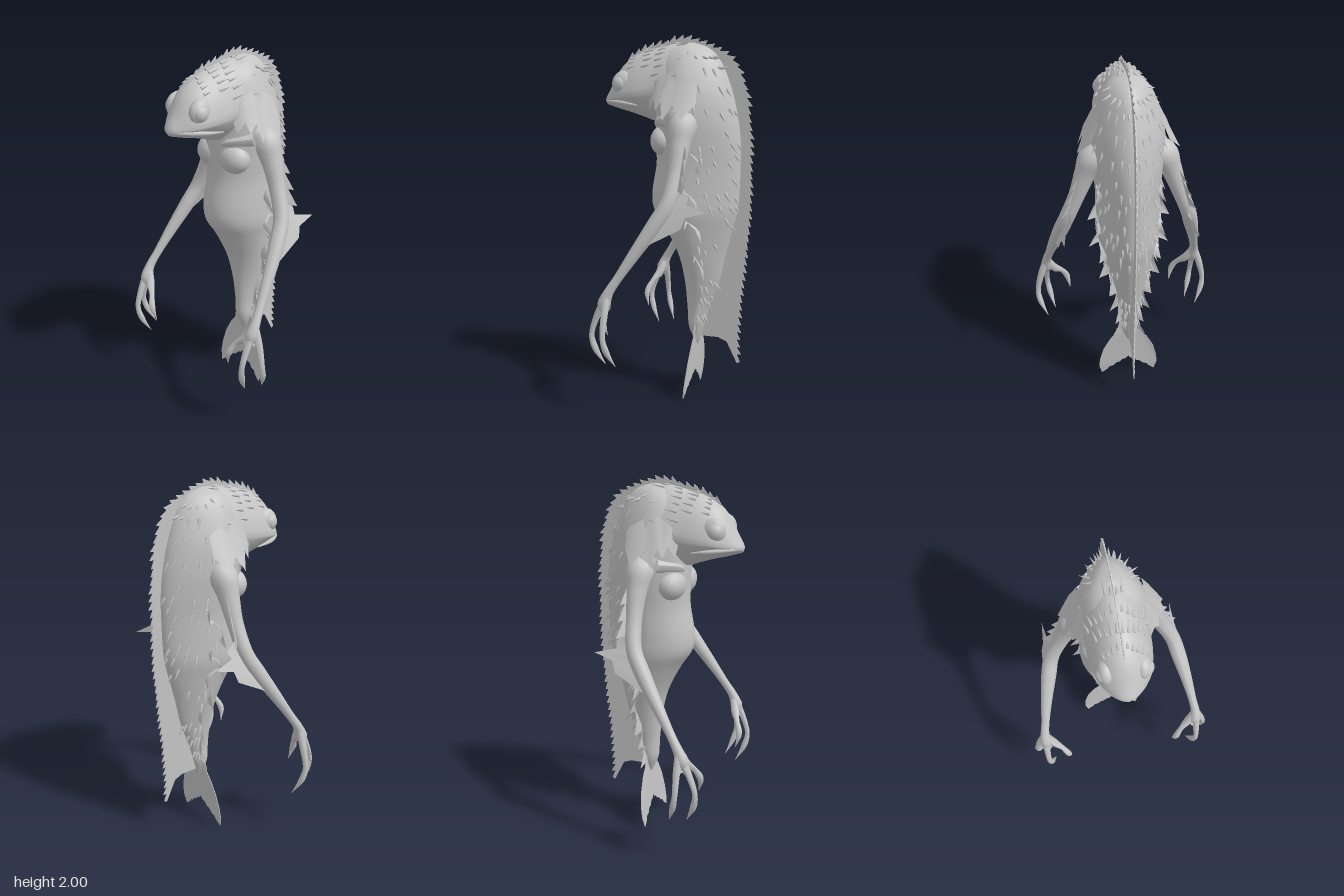
import * as THREE from 'three';
import { mergeGeometries } from 'three/addons/utils/BufferGeometryUtils.js';

const V = (x, y, z) => new THREE.Vector3(x, y, z);

// Smooth interpolation through rows of section values
function rowAt(rows, t) {
  const f = t * (rows.length - 1), i = Math.min(Math.floor(f), rows.length - 2), u = f - i;
  const at = k => rows[Math.max(0, Math.min(rows.length - 1, k))];
  return rows[0].map((_, k) => {
    const [a, b, c, d] = [at(i - 1)[k], at(i)[k], at(i + 1)[k], at(i + 2)[k]];
    return b + 0.5 * u * (c - a + u * (2 * a - 5 * b + 4 * c - d + u * (3 * (b - c) + d - a)));
  });
}

function mesh3(pos, idx) {
  const g = new THREE.BufferGeometry();
  g.setAttribute('position', new THREE.Float32BufferAttribute(pos, 3));
  g.setIndex(idx);
  g.computeVertexNormals();
  return g;
}

// Closed skin over a point function of (t along, a around)
function loft(point, nt, na) {
  const pos = [], idx = [];
  for (let i = 0; i <= nt; i++) for (let j = 0; j < na; j++) pos.push(...point(i / nt, j / na * Math.PI * 2).toArray());
  for (let i = 0; i < nt; i++) for (let j = 0; j < na; j++) {
    const a = i * na + j, b = i * na + (j + 1) % na;
    idx.push(a, a + na, b, b, a + na, b + na);
  }
  return mesh3(pos, idx);
}

// Thin web between a root line and a jagged edge line
function web(roots, tips) {
  const pos = [], idx = [];
  roots.forEach((r, i) => pos.push(...r, ...tips[i]));
  for (let i = 0; i < roots.length - 1; i++) idx.push(2 * i, 2 * i + 1, 2 * i + 2, 2 * i + 2, 2 * i + 1, 2 * i + 3);
  return mesh3(pos, idx).toNonIndexed();
}

// Tube whose radius changes; each point is [x, y, z, radius]
function limb(pts, n = 28, m = 12) {
  const curve = new THREE.CatmullRomCurve3(pts.map(p => V(p[0], p[1], p[2])));
  const g = new THREE.TubeGeometry(curve, n, 1, m), p = g.attributes.position, v = V();
  for (let i = 0; i <= n; i++) {
    const c = curve.getPointAt(i / n), r = rowAt(pts, curve.getUtoTmapping(i / n))[3];
    for (let j = 0; j <= m; j++) {
      v.fromBufferAttribute(p, i * (m + 1) + j).sub(c).multiplyScalar(r).add(c);
      p.setXYZ(i * (m + 1) + j, v.x, v.y, v.z);
    }
  }
  g.computeVertexNormals();
  return g;
}

function spike(at, dir, length, radius) {
  const g = new THREE.ConeGeometry(radius, length, 6);
  g.translate(0, length * 0.35, 0);
  g.applyQuaternion(new THREE.Quaternion().setFromUnitVectors(V(0, 1, 0), dir.clone().normalize()));
  return g.translate(at.x, at.y, at.z);
}

function ball(x, y, z, sx, sy, sz) {
  return new THREE.SphereGeometry(1, 24, 16).scale(sx, sy, sz).translate(x, y, z);
}

function mirrored(geo) {
  const g = geo.index ? geo.toNonIndexed() : geo.clone();
  g.scale(-1, 1, 1);
  for (const a of Object.values(g.attributes)) for (let i = 0; i < a.count; i += 3) for (let k = 0; k < a.itemSize; k++) {
    const s = a.getComponent(i + 1, k);
    a.setComponent(i + 1, k, a.getComponent(i + 2, k));
    a.setComponent(i + 2, k, s);
  }
  return g;
}

// Body rows: y, half width, front z, widest z, back z
const BODY = [
  [1.955, .01, -.05, -.06, -.08], [1.925, .08, .05, -.06, -.17], [1.85, .135, .12, -.05, -.24],
  [1.7, .185, .13, -.06, -.30], [1.55, .195, .125, -.07, -.335], [1.42, .185, .125, -.07, -.35],
  [1.3, .175, .125, -.07, -.35], [1.15, .178, .15, -.06, -.345], [1.05, .175, .14, -.07, -.335],
  [.95, .15, .075, -.09, -.31], [.8, .112, 0, -.12, -.27], [.65, .077, -.035, -.13, -.235],
  [.5, .052, -.05, -.12, -.18], [.38, .045, -.06, -.105, -.145], [.28, .004, -.105, -.11, -.115]];
// Head rows: z, half width, top y, widest y, bottom y
const HEAD = [
  [-.08, .15, 1.95, 1.72, 1.56], [.02, .162, 1.95, 1.71, 1.53], [.12, .16, 1.93, 1.69, 1.53],
  [.2, .157, 1.91, 1.68, 1.555], [.28, .142, 1.87, 1.67, 1.58], [.34, .113, 1.81, 1.66, 1.595],
  [.39, .07, 1.72, 1.65, 1.61], [.42, .036, 1.67, 1.645, 1.62], [.43, .003, 1.645, 1.64, 1.635]];

function bodyPoint(t, a) {
  const [y, w, f, m, b] = rowAt(BODY, t), c = Math.cos(a);
  return V(w * Math.sin(a) * (c < 0 ? 1 + .25 * c : 1), y, m + (c > 0 ? f - m : m - b) * c);
}
function headPoint(t, a) {
  const [z, w, top, m, bot] = rowAt(HEAD, t), c = Math.cos(a);
  return V(w * Math.sin(a) * (c > 0 ? 1 - .18 * c : 1 + .35 * c), m + (c > 0 ? top - m : m - bot) * c, z);
}

export function createModel() {
  const model = new THREE.Group();
  const skin = new THREE.MeshStandardMaterial({ color: 0xc4c4c4, side: THREE.DoubleSide });
  skin.name = 'grey skin';
  const add = (name, geo) => {
    const m = new THREE.Mesh(geo, skin);
    m.name = name;
    model.add(m);
  };
  const pair = (name, geo) => { add('left ' + name, geo); add('right ' + name, mirrored(geo)); };
  let seed = 7;
  const rnd = () => (seed = seed * 16807 % 2147483647) / 2147483647;

  add('body', loft(bodyPoint, 80, 48));
  add('head', loft(headPoint, 40, 48));

  // Face
  pair('eye', ball(.1, 1.735, .302, .042, .048, .046));
  pair('eye socket', ball(.088, 1.735, .287, .046, .072, .07));
  add('lips', limb([[-.148, 1.625, .19, .004], [-.134, 1.635, .28, .011], [-.07, 1.64, .38, .01], [0, 1.64, .42, .01],
    [.07, 1.64, .38, .01], [.134, 1.635, .28, .011], [.148, 1.625, .19, .004]], 40, 8));

  // Chest and shoulders
  pair('chest muscle', ball(.082, 1.435, .055, .097, .085, .077));
  pair('collar bone', limb([[0, 1.49, .1, .02], [.08, 1.53, .085, .03], [.17, 1.55, .0, .04]], 12, 10));
  pair('shoulder slope', limb([[.04, 1.62, -.02, .07], [.13, 1.57, -.05, .08], [.19, 1.51, -.08, .05]], 12, 12));

  // Arm, hand and clawed fingers
  pair('arm', limb([[.12, 1.56, -.08, .06], [.18, 1.52, -.08, .078], [.225, 1.43, -.08, .058], [.275, 1.29, -.075, .044],
    [.335, 1.13, -.05, .042], [.365, 1.02, .01, .042], [.4, .88, .1, .033], [.43, .74, .19, .024], [.445, .66, .24, .026],
    [.445, .59, .27, .034], [.445, .53, .285, .008]], 50, 16));
  const wrist = [[.445, .64, .25], [.445, .64, .25], [.45, .63, .25], [.455, .63, .25], [.455, .63, .25]];
  pair('palm web', web(wrist, [[.365, .535, .295], [.41, .56, .29], [.45, .5, .31], [.465, .55, .28], [.485, .53, .25]]));
  pair('fingers', mergeGeometries([
    [[.44, .64, .25, .022], [.4, .565, .275, .024], [.36, .525, .3, .015], [.328, .46, .325, .018], [.31, .38, .31, .002]],
    [[.45, .6, .27, .022], [.45, .52, .31, .018], [.448, .42, .34, .015], [.435, .34, .325, .017], [.41, .25, .28, .002]],
    [[.455, .63, .25, .022], [.485, .54, .25, .02], [.51, .42, .25, .015], [.5, .35, .235, .017], [.46, .26, .2, .002]]
  ].map(p => limb(p, 18, 8))));

  // Webs on the arm and neck
  pair('elbow fin', web(
    [[.3, 1.24, -.07], [.32, 1.18, -.06], [.34, 1.12, -.05], [.355, 1.07, -.02], [.365, 1.03, 0], [.385, .95, .05], [.4, .89, .1]],
    [[.31, 1.22, -.1], [.315, 1.165, -.16], [.34, 1.13, -.15], [.36, 1.1, -.27], [.37, 1.07, -.16], [.385, 1.01, -.14], [.4, .9, .07]]));
  const armFringe = [0, 1, 2, 3, 4, 5, 6];
  pair('upper arm fringe', web(
    armFringe.map(i => [.24 + i * .014, 1.45 - i * .042, -.1]),
    armFringe.map(i => [.255 + i * .014 + (i % 2) * .04, 1.45 - i * .042 - (i % 2) * .05, -.12 - (i % 2) * .02])));
  pair('neck frill', web(
    [[.13, 1.72, .13], [.15, 1.75, .09], [.15, 1.78, .05], [.15, 1.8, .01], [.15, 1.8, -.03], [.155, 1.79, -.07], [.16, 1.77, -.1], [.16, 1.74, -.15]],
    [[.165, 1.6, .11], [.19, 1.66, .08], [.215, 1.6, .06], [.22, 1.65, .03], [.255, 1.55, .01], [.23, 1.63, -.04], [.267, 1.56, -.1], [.2, 1.64, -.16]]));

  // Ragged fringe down each flank
  const roots = [], tips = [];
  for (let i = 0; i <= 30; i++) {
    const t = .38 + i * .0185, p = bodyPoint(t, 1.75 + .15 * Math.sin(i)), out = i % 3 === 2 ? .05 + .015 * (i % 2) : .006 + .012 * (i % 3);
    roots.push([p.x * .93, p.y, p.z]);
    tips.push([p.x + out * .75, p.y - out, p.z - out * .3]);
  }
  pair('flank fringe', web(roots, tips));

  // Scattered low spines over the back and the crown
  const spines = [];
  for (let r = 0; r < 17; r++) for (let k = 0; k < 5; k++) {
    const t = .1 + r * .048 + rnd() * .03, a = 1.65 + (k + (r % 2) * .5) * .28 + rnd() * .14;
    const p = bodyPoint(t, a), out = V(p.x, 0, p.z + .1).normalize();
    if (p.x < .012 || rnd() < .25) continue;
    spines.push(spike(p, out.multiplyScalar(.45).add(V(0, t < .16 ? -.1 : -.85, -.15)), .045 + rnd() * .025, .01));
  }
  for (let r = 0; r < 4; r++) for (let k = 0; k < 7 - r; k++) {
    const p = headPoint(.08 + r * .12 + rnd() * .03, .1 + k * .2 + (r % 2) * .08);
    spines.push(spike(p, V(p.x * 2.5, .18, -.85), .045 + rnd() * .03, .01));
  }
  pair('spines', mergeGeometries(spines));

  // Toothed fin from the crown down the back, drawn in (z, y)
  const edge = new THREE.CatmullRomCurve3([[.3, 1.86], [.2, 1.92], [.08, 1.95], [-.03, 1.975], [-.17, 1.935], [-.3, 1.86],
    [-.365, 1.72], [-.39, 1.55], [-.4, 1.3], [-.395, 1], [-.37, .75], [-.345, .5], [-.335, .32], [-.34, .2]].map(p => V(p[0], p[1], 0)));
  const fin = new THREE.Shape();
  fin.moveTo(.28, 1.84);
  const teeth = 54;
  for (let i = 0; i < teeth; i++) {
    const p = edge.getPointAt(i / teeth), q = edge.getPointAt((i + .8) / teeth), d = edge.getTangentAt((i + .5) / teeth);
    const h = .014 + rnd() * .013;
    fin.lineTo(p.x, p.y);
    fin.lineTo(q.x + d.y * h + d.x * .012, q.y - d.x * h + d.y * .012);
  }
  [[-.34, .19], [-.31, .25], [-.28, .31], [-.23, .33], [-.12, .33], [-.1, .5], [-.15, .8], [-.2, 1.1], [-.2, 1.6], [-.1, 1.85], [.1, 1.88]]
    .forEach(p => fin.lineTo(p[0], p[1]));
  add('back fin', new THREE.ExtrudeGeometry(fin, { depth: .006, bevelEnabled: false }).translate(0, 0, -.003).rotateY(-Math.PI / 2));

  // Forked tail fin with a scalloped hem, curving slightly forward
  const half = [[.05, .4], [.075, .36], [.075, .335], [.11, .29], [.15, .21], [.172, .12], [.175, .06], [.16, 0], [.145, .012],
    [.125, .03], [.115, .05], [.09, .058], [.075, .08], [.05, .088], [.035, .11], [.015, .115]];
  const outline = [...half, [0, .135], ...half.map(p => [-p[0], p[1]]).reverse()];
  const tail = new THREE.ExtrudeGeometry(new THREE.Shape(outline.map(p => new THREE.Vector2(...p))), { depth: .004, bevelEnabled: false });
  const tp = tail.attributes.position;
  for (let i = 0; i < tp.count; i++) tp.setZ(i, tp.getZ(i) - .112 + .035 * Math.pow(1 - tp.getY(i) / .42, 2));
  tail.computeVertexNormals();
  add('tail fin', tail);
  return model;
}
